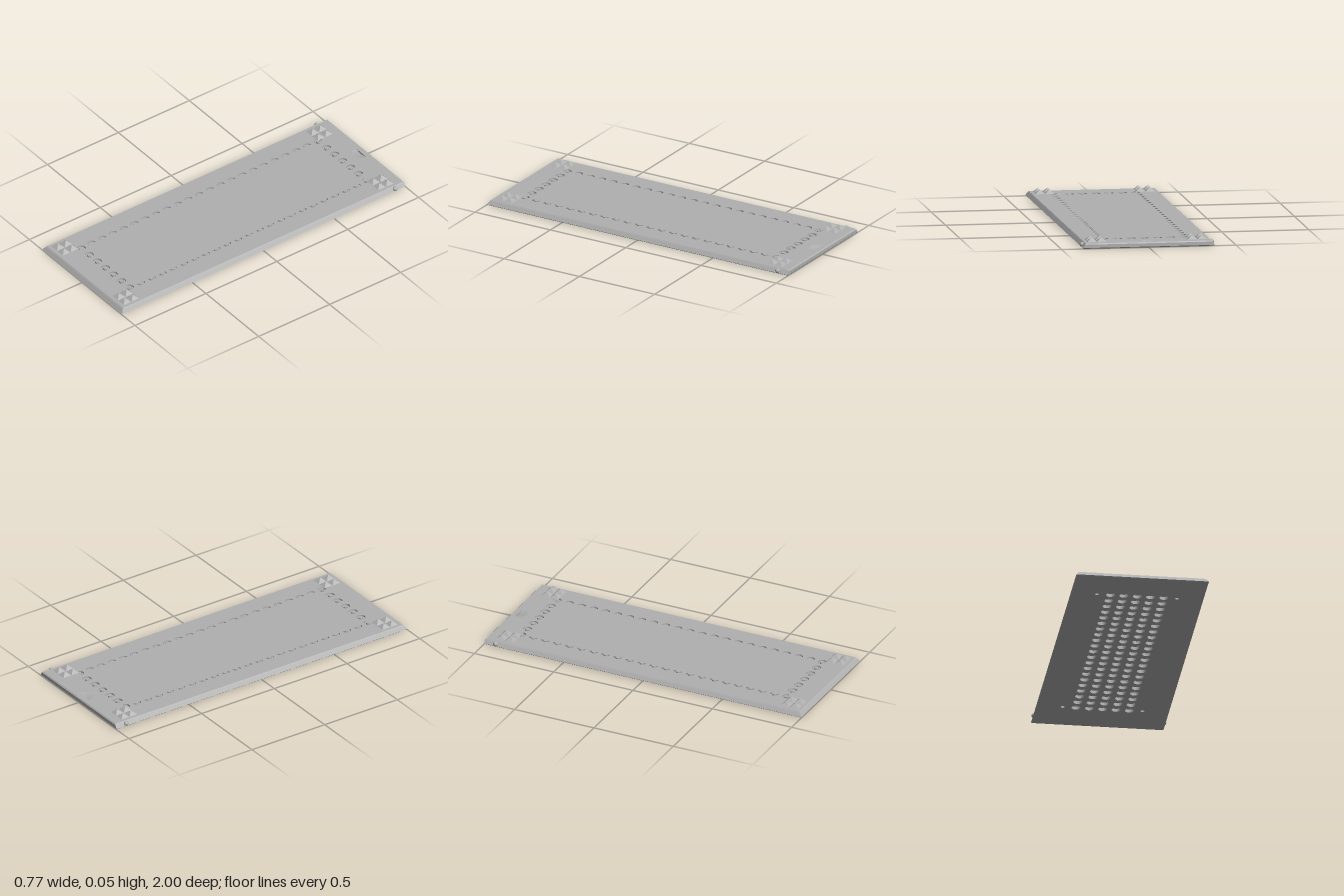
import * as THREE from 'three';
import { mergeGeometries, toCreasedNormals } from 'three/addons/utils/BufferGeometryUtils.js';

const PI = Math.PI, TOP = 0.03, PITCH = 0.076, EDGE = PITCH * 3;

export function createModel() {
  const model = new THREE.Group();
  const grey = new THREE.MeshStandardMaterial({ color: 0xb0b0b0, side: THREE.DoubleSide });
  grey.name = 'plain grey';
  const add = (name, geo, x = 0, y = 0, z = 0) => {
    const mesh = new THREE.Mesh(geo, grey);
    mesh.name = name;
    mesh.position.set(x, y, z);
    model.add(mesh);
    return mesh;
  };

  const rectangle = (hx, front, back, sign) => new THREE.Shape([
    [-hx, sign * front], [hx, sign * front], [hx, sign * back], [-hx, sign * back],
  ].map(([x, y]) => new THREE.Vector2(x, y)));

  // Pie-shaped opening in a flat face, with a matching lathed recess
  const cutPie = (shape, x, y, r, start, len) => {
    const path = new THREE.Path();
    if (len < 2 * PI) path.moveTo(x, y);
    path.absarc(x, y, r, start, start + len, false);
    path.closePath();
    shape.holes.push(path);
  };
  const recess = (profile, start, len, x, y, z) => {
    const points = profile.map(([r, h]) => new THREE.Vector2(r, h));
    const geo = new THREE.LatheGeometry(points, Math.round(16 * len / (2 * PI)), start + PI / 2, len);
    return toCreasedNormals(geo, 0.6).translate(x, y, z);
  };

  // Bevelled rim: half width, front z, back z, height
  const rings = [
    [0.372, 0.994, -0.996, 0], [0.378, 1, -1, 0.005],
    [0.365, 0.986, -1, 0.024], [0.36, 0.98, -0.994, TOP],
  ];
  const pos = [], index = [];
  for (const [hx, f, b, y] of rings) pos.push(-hx, y, f, hx, y, f, hx, y, b, -hx, y, b);
  for (let i = 0; i < rings.length - 1; i++) {
    for (let j = 0; j < 4; j++) {
      const a = i * 4 + j, b = i * 4 + (j + 1) % 4;
      index.push(a, b, b + 4, a, b + 4, a + 4);
    }
  }
  const rim = new THREE.BufferGeometry();
  rim.setAttribute('position', new THREE.Float32BufferAttribute(pos, 3));
  rim.setIndex(index);
  const flatRim = rim.toNonIndexed();
  flatRim.computeVertexNormals();
  add('bevelledRim', flatRim);

  // Top face with a border of ring grooves, cut short along the sides
  const topShape = rectangle(0.36, 0.98, -0.994, -1);
  const grooveProfile = [[0, 0], [0.013, 0], [0.013, -0.01], [0.026, -0.01], [0.026, 0]];
  const grooves = [];
  const groove = (x, z, start, len) => {
    cutPie(topShape, x, -z, 0.026, start, len);
    grooves.push(recess(grooveProfile, start, len, x, TOP, z));
  };
  for (const z of [-11 * PITCH, 11 * PITCH]) {
    for (let i = -2; i <= 2; i++) groove(i * PITCH, z, 0, 2 * PI);
    groove(EDGE, z, z > 0 ? 1.5 * PI : PI, 1.5 * PI);
    groove(-EDGE, z, z > 0 ? 0 : 0.5 * PI, 1.5 * PI);
  }
  for (let j = -10; j <= 10; j++) {
    groove(EDGE, j * PITCH, -PI / 2, PI);
    groove(-EDGE, j * PITCH, PI / 2, PI);
  }
  add('ringGrooves', mergeGeometries(grooves));
  add('centrePanel', new THREE.BoxGeometry(EDGE * 2, 0.0095, 1.6), 0, 0.025, 0);

  // Half-round finger notch near the back
  cutPie(topShape, 0, 0.965, 0.05, PI, PI);
  add('fingerNotch', recess([[0, -0.012], [0.05, 0]], PI, PI, 0, TOP, -0.965));
  const notchWall = new THREE.Shape([
    new THREE.Vector2(-0.05, 0), new THREE.Vector2(0, -0.012), new THREE.Vector2(0.05, 0),
  ]);
  add('notchWall', new THREE.ShapeGeometry(notchWall), 0, TOP, -0.965);
  add('topFace', new THREE.ShapeGeometry(topShape, 16).rotateX(-PI / 2), 0, TOP, 0);

  // Underside with its grid of round sockets
  const baseShape = rectangle(0.372, -0.996, 0.994, 1);
  const sockets = [];
  const socket = (x, z, r, depth) => {
    cutPie(baseShape, x, z, r, 0, 2 * PI);
    sockets.push(recess([[r, 0], [r, depth], [0, depth]], 0, 2 * PI, x, 0, z));
  };
  for (let j = -10; j <= 10; j++) {
    for (let i = -2; i <= 2; i++) socket(i * PITCH, j * PITCH, 0.026, 0.018);
  }
  for (const x of [-EDGE, EDGE]) for (const z of [-0.76, 0.76]) socket(x, z, 0.012, 0.01);
  add('undersideSockets', mergeGeometries(sockets));
  add('underside', new THREE.ShapeGeometry(baseShape, 16).rotateX(PI / 2));

  // Four pyramid studs in each corner
  const stud = new THREE.ConeGeometry(0.026 * Math.SQRT2, 0.024, 4).rotateY(PI / 4).toNonIndexed();
  stud.computeVertexNormals();
  for (const side of [-1, 1]) {
    for (const x of [0.26, 0.316]) {
      for (const z of [-0.915, -0.86, 0.88, 0.935]) add('pyramidStud', stud, side * x, TOP + 0.012, z);
    }
    // Round pivot knob on each side
    add('pivotKnob', new THREE.SphereGeometry(0.014, 24, 16), side * 0.371, 0.016, -0.93);
  }
  return model;
}
